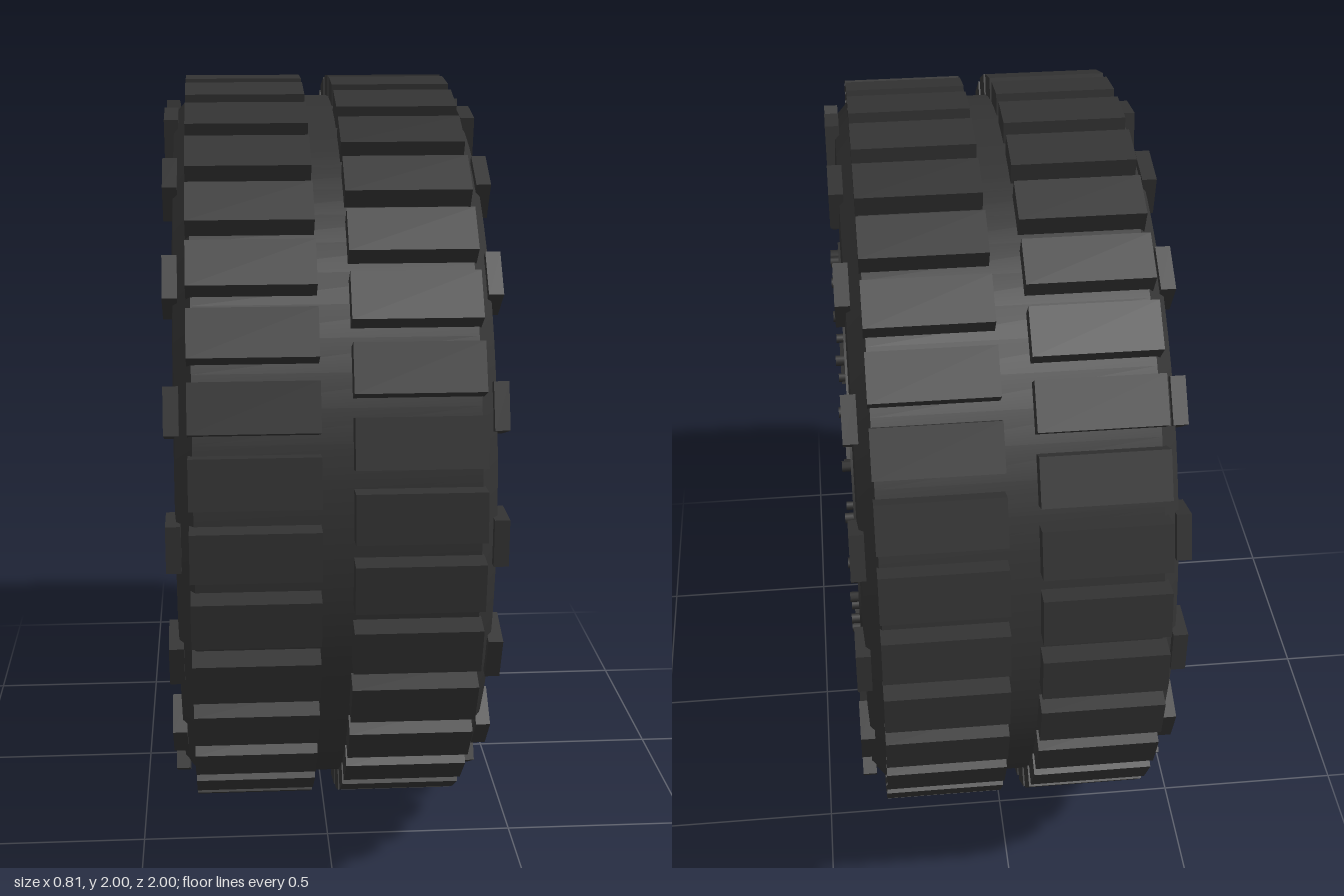
import * as THREE from 'three';
import { toCreasedNormals } from 'three/addons/utils/BufferGeometryUtils.js';

const material = (name, color, side = THREE.FrontSide) => {
  const m = new THREE.MeshStandardMaterial({ color, side });
  m.name = name;
  return m;
};
const rubber = material('rubber', 0x333333);
const darkMetal = material('darkMetal', 0x2c2c2c);
const silver = material('silver', 0xd0d3d6);
const silverSheet = material('silverSheet', 0xd0d3d6, THREE.DoubleSide);
const rubberSheet = material('rubberSheet', 0x333333, THREE.DoubleSide);

// Closed ring around the axle (x) from [radius, x] points
function ring(points, segments) {
  const profile = points.map(([r, x]) => new THREE.Vector2(r, x));
  const geo = toCreasedNormals(new THREE.LatheGeometry(profile, segments), 0.5);
  return geo.rotateZ(-Math.PI / 2);
}

// Cylinder along the axle from x0 to x1
function disc(radius, x0, x1, sides) {
  return new THREE.CylinderGeometry(radius, radius, x1 - x0, sides)
    .rotateZ(-Math.PI / 2).translate((x0 + x1) / 2, 0, 0);
}

export function createModel() {
  const model = new THREE.Group();
  const wheel = new THREE.Group();
  wheel.name = 'wheel';
  wheel.position.y = 1;
  model.add(wheel);

  const add = (name, geo, mat) => {
    const mesh = new THREE.Mesh(geo, mat);
    mesh.name = name;
    wheel.add(mesh);
    return mesh;
  };
  // Repeat a part, modelled above the axle, around the wheel
  const around = (name, geo, mat, count, offsetDegrees = 0) => {
    for (let i = 0; i < count; i++) {
      add(name, geo, mat).rotation.x = (i / count) * Math.PI * 2 + THREE.MathUtils.degToRad(offsetDegrees);
    }
  };

  // Tyre carcass with rounded shoulders and sidewalls
  const half = [[0.472, 0.355], [0.49, 0.367], [0.56, 0.37], [0.7, 0.377], [0.83, 0.38], [0.9, 0.376], [0.945, 0.335]];
  const shift = -0.005;
  const carcass = [
    ...half.map(([r, x]) => [r, -x + shift]),
    ...half.slice().reverse().map(([r, x]) => [r, x + shift]),
    [half[0][0], -half[0][1] + shift],
  ];
  add('tyre', ring(carcass, 72), rubber);

  // Two staggered rows of tread blocks
  const block = new THREE.BoxGeometry(0.305, 0.08, 0.12);
  around('leftTreadBlock', block.clone().translate(0.183, 0.9586, 0), rubber, 36, 5);
  around('rightTreadBlock', block.clone().translate(-0.198, 0.9586, 0), rubber, 36);

  // Sidewall lugs
  for (const x of [0.378, -0.388]) {
    around('sidewallLug', new THREE.BoxGeometry(0.036, 0.105, 0.115).translate(x, 0.88, 0), rubber, 18, 10);
  }

  // Bead ring and its bolts
  add('beadRing', ring([[0.472, 0.34], [0.56, 0.34], [0.56, 0.381], [0.472, 0.381], [0.472, 0.34]], 64), rubber);
  around('beadBolt', disc(0.014, 0.37, 0.403, 8).translate(0, 0.525, 0), darkMetal, 24);

  // Rim barrel, open at the back, with alternating light and dark bands
  const barrel = new THREE.CylinderGeometry(0.467, 0.467, 0.715, 64, 1, true);
  barrel.clearGroups();
  for (let i = 0; i < 32; i++) barrel.addGroup(i * 12, 12, i % 2);
  barrel.rotateZ(-Math.PI / 2).translate(-0.003, 0, 0);
  add('rimBarrel', barrel, [silverSheet, rubberSheet]);

  // Stepped rim lip
  add('rimLip', ring([
    [0.408, 0.28], [0.466, 0.28], [0.466, 0.372], [0.458, 0.372],
    [0.445, 0.348], [0.408, 0.342], [0.408, 0.28],
  ], 64), silver);

  // Tapered spokes, dished in towards the hub
  const spoke = new THREE.BoxGeometry(0.06, 0.32, 1);
  const p = spoke.attributes.position;
  for (let i = 0; i < p.count; i++) {
    const outer = p.getY(i) > 0;
    p.setXYZ(i, p.getX(i) + (outer ? 0.317 : 0.262), p.getY(i) + 0.275, p.getZ(i) * (outer ? 0.155 : 0.095));
  }
  spoke.computeVertexNormals();
  around('spoke', spoke, silver, 8);

  // Hub, centre cap and wheel nuts
  add('hub', disc(0.15, 0.22, 0.3, 8).rotateX(Math.PI / 8), silver);
  add('centreCap', disc(0.095, 0.28, 0.34, 32), darkMetal);
  around('wheelNut', disc(0.02, 0.28, 0.33, 6).translate(0, 0.124, 0), darkMetal, 6, 30);

  return model;
}
